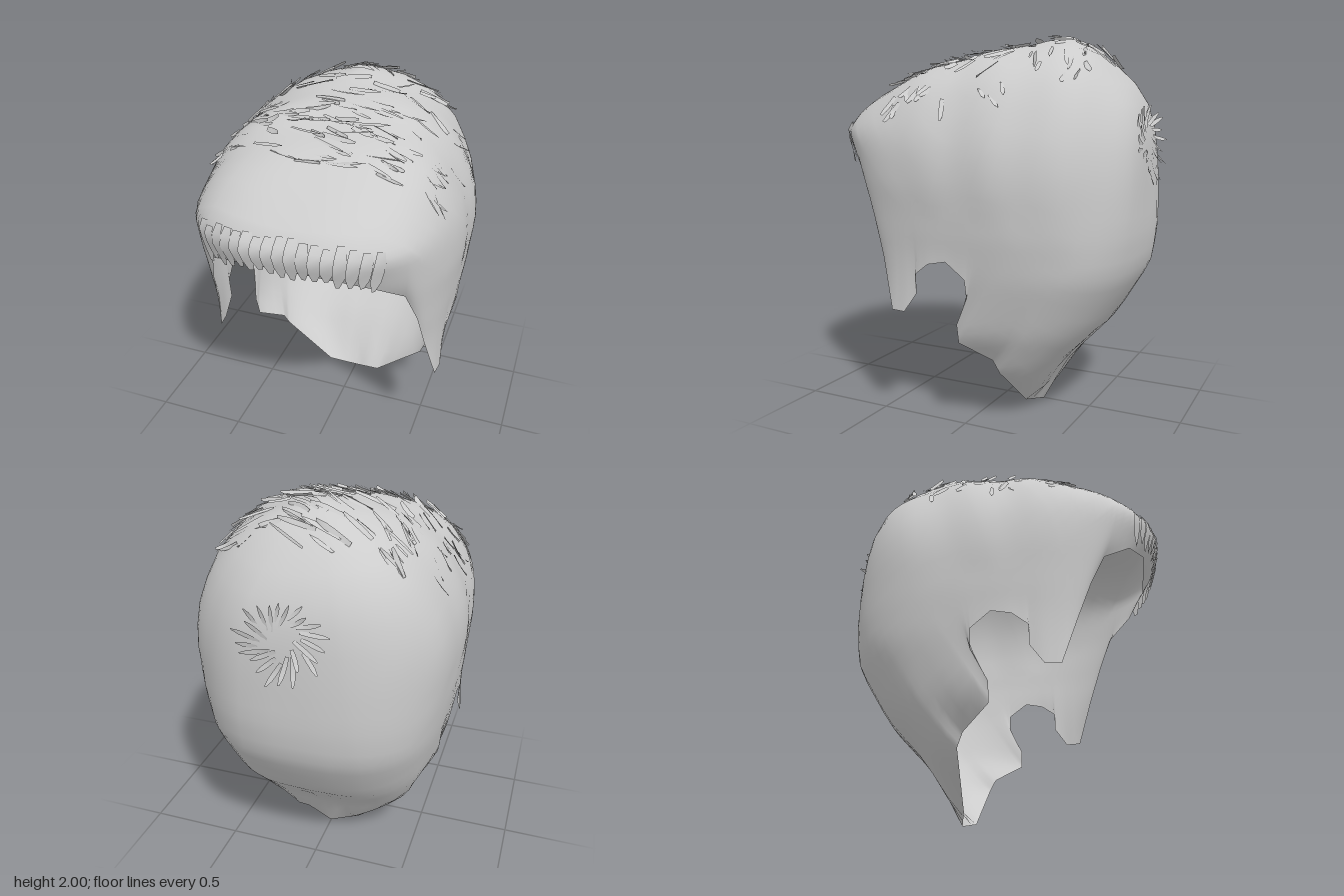
import * as THREE from 'three';
import { mergeVertices } from 'three/addons/utils/BufferGeometryUtils.js';

const V = (x, y, z) => new THREE.Vector3(x, y, z);
const CENTER = V(0, 1.1, -0.05);

// Head form: height, half width, front z, back z
const FORM = [
  [-0.02, 0.02, -0.2, -0.22], [0.04, 0.17, -0.12, -0.25], [0.28, 0.45, 0.14, -0.39], [0.5, 0.57, 0.6, -0.6],
  [0.8, 0.63, 0.68, -0.78], [1.0, 0.66, 0.74, -0.81], [1.25, 0.68, 0.78, -0.81], [1.4, 0.67, 0.82, -0.8],
  [1.5, 0.645, 0.87, -0.79], [1.6, 0.6, 0.8, -0.76], [1.7, 0.55, 0.66, -0.71], [1.8, 0.46, 0.45, -0.63],
  [1.88, 0.34, 0.2, -0.55], [1.93, 0.2, -0.05, -0.49], [1.955, 0.08, -0.2, -0.42], [1.97, 0.01, -0.3, -0.34],
];

// Hairline, front centre to nape: x, y, z, then azimuth and height of the guide above it
const HEM = [
  [0, 1.38, 0.78, 0, 1.6], [0.2, 1.38, 0.78, 16, 1.6], [0.4, 1.32, 0.7, 32, 1.58], [0.5, 1.22, 0.57, 42, 1.5],
  [0.55, 1.05, 0.5, 49, 1.42], [0.58, 0.85, 0.43, 56, 1.35], [0.63, 0.6, 0.35, 64, 1.25], [0.64, 0.6, 0.27, 69, 1.2],
  [0.63, 0.7, 0.2, 74, 1.15], [0.64, 0.8, 0.2, 78, 1.12], [0.65, 0.86, 0.12, 82, 1.1], [0.65, 0.88, 0.02, 88, 1.1],
  [0.64, 0.8, -0.08, 97, 1.1], [0.62, 0.7, -0.08, 103, 1.08], [0.58, 0.55, 0, 111, 1.05], [0.56, 0.45, 0, 117, 1.0],
  [0.46, 0.35, -0.14, 125, 0.95], [0.44, 0.28, -0.17, 134, 0.9], [0.3, 0.16, -0.18, 145, 0.9],
  [0.16, 0.04, -0.19, 158, 0.9], [0, 0, -0.23, 180, 0.9],
];

function lookup(y, k) {
  if (y <= FORM[0][0]) return FORM[0][k];
  for (let i = 1; i < FORM.length; i++) {
    const a = FORM[i - 1], b = FORM[i];
    if (y <= b[0]) return a[k] + (b[k] - a[k]) * (y - a[0]) / (b[0] - a[0]);
  }
  return FORM[FORM.length - 1][k];
}
const smooth = (y, k) => (lookup(y - 0.03, k) + 2 * lookup(y, k) + lookup(y + 0.03, k)) / 4;

// Distance from the centre to the head form along a direction
function radius(dir) {
  let lo = 0, hi = 1.6;
  for (let i = 0; i < 24; i++) {
    const m = (lo + hi) / 2;
    const y = CENTER.y + dir.y * m;
    const f = smooth(y, 2), b = smooth(y, 3);
    const u = Math.abs(dir.x * m) / smooth(y, 1);
    const v = Math.abs(CENTER.z + dir.z * m - (f + b) / 2) / ((f - b) / 2);
    const inside = y > -0.05 && y < 1.98 && u ** 2.7 + v ** 2.7 < 1;
    if (inside) lo = m; else hi = m;
  }
  return lo;
}
const direction = (p) => p.clone().sub(CENTER).normalize();
function onHead(p, lift = 0) {
  const d = direction(p);
  return d.clone().multiplyScalar(radius(d) + lift).add(CENTER);
}

// Grid of points to a surface
function surface(columns, closed) {
  const rows = columns[0].length, n = columns.length, index = [];
  for (let i = 0; i < (closed ? n : n - 1); i++) {
    for (let j = 0; j < rows - 1; j++) {
      const a = i * rows + j, b = ((i + 1) % n) * rows + j;
      index.push(a, b, b + 1, a, b + 1, a + 1);
    }
  }
  const g = new THREE.BufferGeometry().setFromPoints(columns.flat());
  g.setIndex(index);
  return g;
}

function hairShell() {
  const half = [], split = 3;
  for (let i = 0; i < HEM.length - 1; i++) {
    for (let s = 0; s < split; s++) half.push(HEM[i].map((v, k) => v + (HEM[i + 1][k] - v) * s / split));
  }
  half.push(HEM[HEM.length - 1]);
  const mirrored = half.slice(1, -1).reverse().map(([x, y, z, a, h]) => [-x, y, z, -a, h]);
  const pole = direction(V(0, 1.95, -0.3));
  const columns = [...half, ...mirrored].map(([x, y, z, az, gy]) => {
    const hem = V(x, y, z), hemDir = direction(hem), a = az * Math.PI / 180;
    const guide = direction(V(0.68 * Math.sin(a), gy, 0.78 * Math.cos(a)));
    const fix = hem.distanceTo(CENTER) - radius(hemDir);
    const column = [];
    for (let j = 0; j <= 10; j++) {
      const d = hemDir.clone().lerp(guide, j / 10).normalize();
      column.push(d.clone().multiplyScalar(radius(d) + fix * (1 - j / 10) ** 3).add(CENTER));
    }
    for (let j = 1; j <= 14; j++) {
      const t = j / 14, d = guide.clone().lerp(pole, t).normalize();
      // Soft combed waves over the top
      const wave = 0.008 * Math.sin(Math.PI * t) * Math.sin(14 * d.z + 5 * d.x);
      column.push(d.clone().multiplyScalar(radius(d) + wave).add(CENTER));
    }
    return column;
  });
  const g = mergeVertices(surface(columns, true), 1e-5);
  g.computeVertexNormals();
  return g;
}

// Tapered lock lying along the head; the far end lifts away
function lock(center, along, length, width, base, lift, roll = 0) {
  const left = [], right = [];
  for (let k = 0; k <= 4; k++) {
    const t = k / 4;
    const p = center.clone().addScaledVector(along, (t - 0.5) * length);
    const side = V().crossVectors(along, direction(p)).normalize();
    const w = width * (0.55 + 0.9 * t * (1 - t)) * (k === 4 ? 0.4 : 1) / 2;
    const h = base + lift * t * t;
    left.push(onHead(p.clone().addScaledVector(side, -w), h - roll));
    right.push(onHead(p.clone().addScaledVector(side, w), h + roll));
  }
  const g = surface([left, right], false);
  g.computeVertexNormals();
  return g;
}

export function createModel() {
  const model = new THREE.Group();
  const hair = new THREE.MeshStandardMaterial({ color: 0xcccccc, side: THREE.DoubleSide });
  hair.name = 'hairGrey';
  let seed = 7;
  const rnd = (a, b) => {
    seed = (seed * 16807) % 2147483647;
    return a + (b - a) * seed / 2147483647;
  };
  const add = (geometry, name, parent = model) => {
    const mesh = new THREE.Mesh(geometry, hair);
    mesh.name = name;
    parent.add(mesh);
  };
  const section = (name) => {
    const g = new THREE.Group();
    g.name = name;
    model.add(g);
    return g;
  };

  add(hairShell(), 'hairShell');

  // Loose locks swept across the top
  const top = section('topLocks');
  for (let i = 0; i < 130; i++) {
    const x = rnd(-0.46, 0.48), z = rnd(-0.58, 0.52);
    const angle = rnd(-0.15, 0.55) + (z < -0.2 ? 0.35 : 0);
    const along = V(Math.cos(angle), 0, Math.sin(angle) * (x > 0.1 && z < -0.2 ? -1 : 1));
    add(lock(V(x, 1.82, z), along, rnd(0.08, 0.2), rnd(0.015, 0.035), 0.004, rnd(0.005, 0.03), rnd(-0.008, 0.008)), 'topLock', top);
  }

  // Short locks on the upper sides
  const sides = section('sideLocks');
  for (const s of [-1, 1]) {
    for (let i = 0; i < 14; i++) {
      const p = V(s * 0.56, rnd(1.55, 1.75), rnd(-0.35, 0.45));
      add(lock(p, V(s * 0.2, -0.8, rnd(-0.6, 0.3)).normalize(), rnd(0.08, 0.15), 0.025, 0.004, 0.02, 0.005), 'sideLock', sides);
    }
  }

  // Rolled fringe
  const fringe = section('fringeLocks');
  for (let i = 0; i < 17; i++) {
    const x = -0.42 + i * 0.0525;
    const p = V(x, 1.49 - 0.25 * x * x, 0.84 - 0.5 * x * x);
    add(lock(p, V(-x * 0.3, -1, rnd(-0.1, 0.1)).normalize(), rnd(0.17, 0.23), 0.075, 0.006, 0.008, rnd(0, 0.007)), 'fringeLock', fringe);
  }

  // Whorl at the back of the crown
  const whorl = section('crownWhorl');
  for (let i = 0; i < 22; i++) {
    const a = i / 22 * Math.PI * 2, r = rnd(0.11, 0.17);
    const p = V(0.03 + r * Math.cos(a), 1.46 + r * Math.sin(a), -0.79);
    const along = V(Math.cos(a + 0.35), Math.sin(a + 0.35), 0);
    add(lock(p, along, rnd(0.09, 0.15), 0.028, 0.004, rnd(0.02, 0.05), 0.003), 'whorlLock', whorl);
  }
  return model;
}
